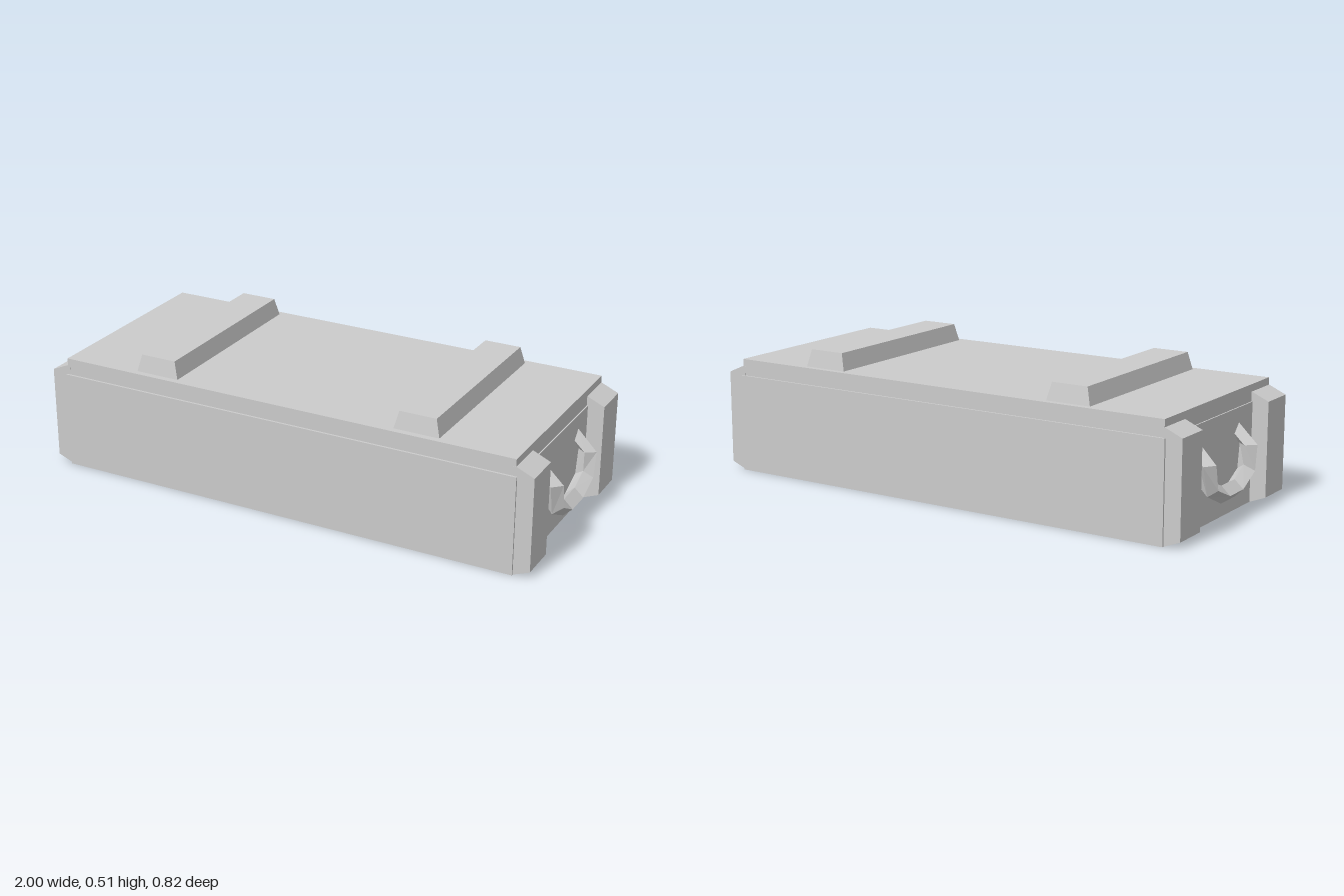
import * as THREE from 'three';

const material = new THREE.MeshStandardMaterial({ color: 0xcccccc, flatShading: true });

function addMesh(parent, name, geometry, x = 0, y = 0, z = 0) {
  const mesh = new THREE.Mesh(geometry, material);
  mesh.name = name;
  mesh.position.set(x, y, z);
  parent.add(mesh);
  return mesh;
}

// Box standing on y = 0 whose top is scaled in x and z
function taperedBox(w, h, d, topX, topZ) {
  const geometry = new THREE.BoxGeometry(w, h, d).translate(0, h / 2, 0);
  const p = geometry.attributes.position;
  for (let i = 0; i < p.count; i++) {
    if (p.getY(i) > h / 2) p.setXYZ(i, p.getX(i) * topX, h, p.getZ(i) * topZ);
  }
  geometry.computeVertexNormals();
  return geometry;
}

// Post with sloped top and bottom, extruded along z
function postGeometry(depth) {
  const shape = new THREE.Shape([
    [0.91, 0], [0.925, 0], [0.988, 0.025], [0.988, 0.383], [0.922, 0.412], [0.91, 0.412],
  ].map(([x, y]) => new THREE.Vector2(x, y)));
  return new THREE.ExtrudeGeometry(shape, { depth, bevelEnabled: false });
}

// Hanging handle: diamond cross-sections joined from wall to wall
function handleGeometry(side) {
  const r = 0.035, barX = 0.965, wallX = 0.92;
  // Outer z, y and inner z, y of each section along the bar
  const sections = [
    [0.185, 0.248, 0.117, 0.248],
    [0.16, 0.132, 0.115, 0.178],
    [0.046, 0.075, 0.046, 0.14],
    [-0.058, 0.075, -0.058, 0.14],
    [-0.165, 0.123, -0.138, 0.172],
    [-0.203, 0.238, -0.14, 0.245],
  ];
  const wallRing = (zo, zi) => {
    const zm = (zo + zi) / 2;
    return [[wallX, 0.325, zm], [wallX, 0.29, zo], [wallX, 0.25, zm], [wallX, 0.29, zi]];
  };
  const rings = [
    wallRing(0.185, 0.117),
    ...sections.map(([zo, yo, zi, yi]) => {
      const z = (zo + zi) / 2, y = (yo + yi) / 2;
      return [[barX + r, y, z], [barX, yo, zo], [barX - r, y, z], [barX, yi, zi]];
    }),
    wallRing(-0.203, -0.138),
  ];
  const positions = rings.flat().flatMap(([x, y, z]) => [x * side, y, z]);
  const index = [];
  const tri = (a, b, c) => index.push(...(side > 0 ? [a, b, c] : [a, c, b]));
  for (let s = 0; s < rings.length - 1; s++) {
    for (let k = 0; k < 4; k++) {
      const a = s * 4 + k, b = s * 4 + (k + 1) % 4;
      tri(a, b, b + 4);
      tri(a, b + 4, a + 4);
    }
  }
  const indexed = new THREE.BufferGeometry();
  indexed.setAttribute('position', new THREE.Float32BufferAttribute(positions, 3));
  indexed.setIndex(index);
  const geometry = indexed.toNonIndexed();
  geometry.computeVertexNormals();
  return geometry;
}

export function createModel() {
  const model = new THREE.Group();
  model.name = 'crate';

  // Main box and lid
  addMesh(model, 'body', new THREE.BoxGeometry(1.85, 0.376, 0.82), 0, 0.188, 0);
  addMesh(model, 'lid', new THREE.BoxGeometry(1.84, 0.066, 0.804), 0, 0.407, 0);

  // Bevelled battens across the lid
  for (const x of [-0.53, 0.535]) {
    addMesh(model, 'lidBatten', taperedBox(0.176, 0.066, 0.756, 0.81, 0.97), x, 0.44, 0);
  }

  // Corner posts and handle on each end
  for (const side of [1, -1]) {
    const end = new THREE.Group();
    end.name = side > 0 ? 'leftEnd' : 'rightEnd';
    model.add(end);
    for (const z of [0.258, -0.403]) {
      const post = addMesh(end, 'cornerPost', postGeometry(0.145), 0, 0, side > 0 ? z : -z);
      if (side < 0) post.rotation.y = Math.PI;
    }
    addMesh(end, 'handle', handleGeometry(side));
  }

  return model;
}
